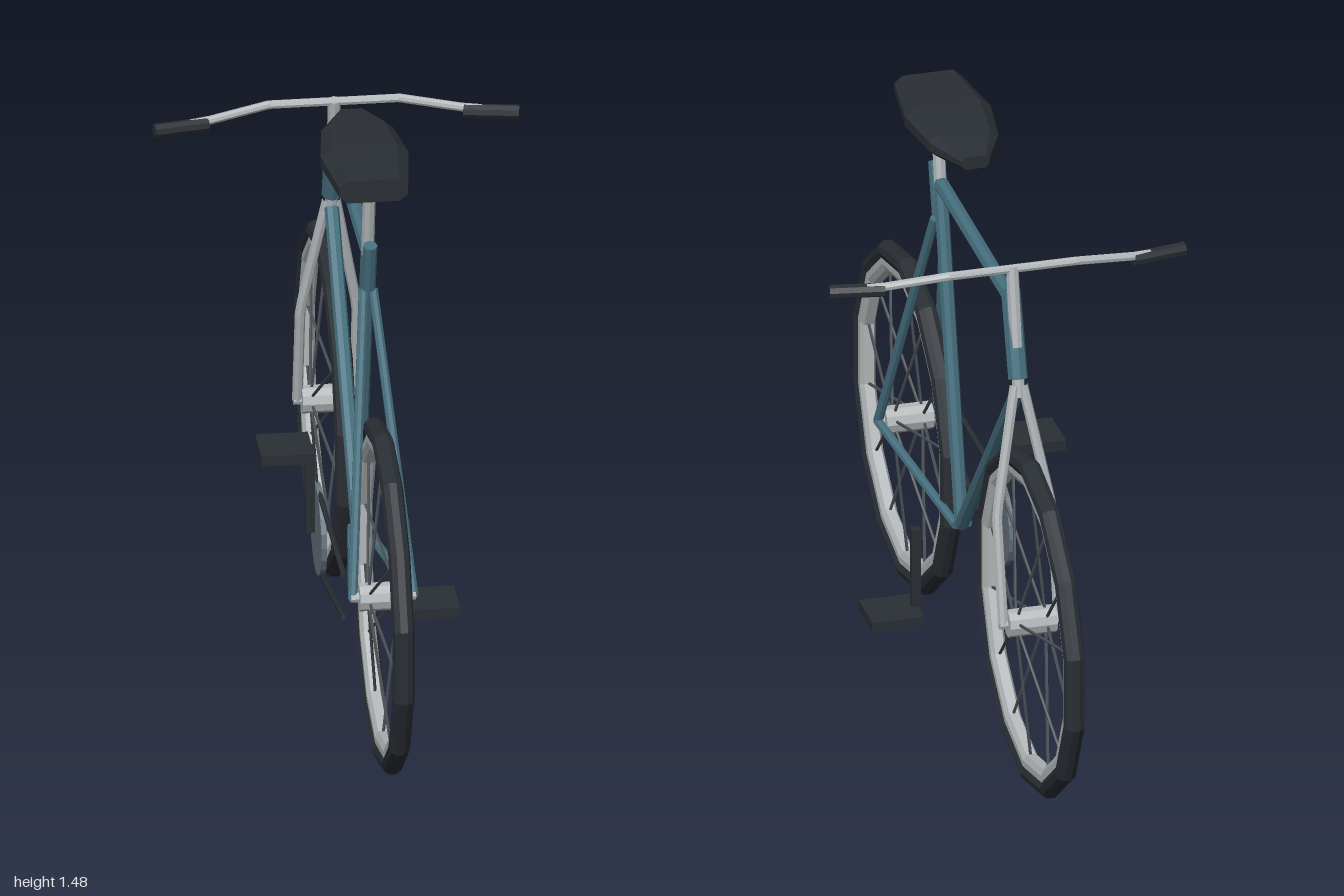
import * as THREE from 'three';

const mat = (color) => new THREE.MeshStandardMaterial({ color, flatShading: true });
const V = (x, y, z) => new THREE.Vector3(x, y, z);

export function createModel() {
  const bike = new THREE.Group();
  bike.name = 'bicycle';
  const blue = mat(0x46707f), dark = mat(0x2a2f35), silver = mat(0xb4b8ba);
  const spokeMat = mat(0x4a5055), steel = mat(0x66747f);

  const add = (name, geometry, material, parent = bike) => {
    const mesh = new THREE.Mesh(geometry, material);
    mesh.name = name;
    parent.add(mesh);
    return mesh;
  };
  // straight tube between two points
  const rod = (name, a, b, r, material, parent = bike, sides = 8) => {
    const dir = b.clone().sub(a);
    const mesh = add(name, new THREE.CylinderGeometry(r, r, dir.length(), sides), material, parent);
    mesh.position.copy(a).add(b).multiplyScalar(0.5);
    mesh.quaternion.setFromUnitVectors(V(0, 1, 0), dir.normalize());
    return mesh;
  };
  const box = (name, w, h, d, x, y, z) =>
    add(name, new THREE.BoxGeometry(w, h, d), dark).position.set(x, y, z);

  // ring of revolution around the x axis, with a corner at the top
  const N = 14;
  const ring = (profile) => {
    const pts = [...profile, profile[0]].map(([r, x]) => new THREE.Vector2(r, x));
    return new THREE.LatheGeometry(pts, N).rotateZ(Math.PI / 2).rotateX(Math.PI / 2);
  };

  // wheels: tyre, rim, hub, axle and spokes
  for (const [name, z] of [['rearWheel', 0.573], ['frontWheel', -0.573]]) {
    const wheel = new THREE.Group();
    wheel.name = name;
    wheel.position.set(0, 0.438, z);
    bike.add(wheel);
    add('tyre', ring([[0.392, -0.018], [0.412, -0.027], [0.428, -0.022], [0.437, -0.009],
      [0.437, 0.009], [0.428, 0.022], [0.412, 0.027], [0.392, 0.018]]), dark, wheel);
    add('rim', ring([[0.365, -0.012], [0.38, -0.02], [0.4, -0.02],
      [0.4, 0.02], [0.38, 0.02], [0.365, 0.012]]), silver, wheel);
    rod('hub', V(-0.06, 0, 0), V(0.06, 0, 0), 0.035, silver, wheel, 10);
    rod('axle', V(-0.08, 0, 0), V(0.08, 0, 0), 0.013, silver, wheel);
    for (let i = 0; i < N; i++) {
      const a = (i / N) * Math.PI * 2, c = Math.cos(a), s = Math.sin(a);
      const x = i % 2 ? 0.035 : -0.035;
      rod('spoke', V(x, c * 0.03, s * 0.03), V(0, c * 0.37, s * 0.37), 0.004, spokeMat, wheel, 5);
    }
  }

  // frame
  const crankAxis = V(0, 0.39, 0.07);
  rod('seatTube', V(0, 1.22, 0.265), crankAxis, 0.018, blue);
  rod('topTube', V(0, 1.23, 0.26), V(0, 1.23, -0.395), 0.019, blue);
  rod('downTube', V(0, 1.01, -0.452), crankAxis, 0.018, blue);
  rod('headTube', V(0, 1.255, -0.387), V(0, 1.045, -0.455), 0.025, blue);
  rod('seatClamp', V(0, 1.265, 0.315), V(0, 1.135, 0.28), 0.018, blue);
  for (const s of [-1, 1]) {
    rod('seatStay', V(s * 0.012, 1.13, 0.275), V(s * 0.075, 0.438, 0.573), 0.012, blue);
    rod('chainStay', V(s * 0.015, 0.39, 0.07), V(s * 0.075, 0.438, 0.573), 0.012, blue);
  }

  // fork and steering
  rod('steererTube', V(0, 1.325, -0.4), V(0, 1.0, -0.463), 0.016, silver);
  for (const s of [-1, 1]) {
    const blade = new THREE.CurvePath();
    const p = [V(s * 0.01, 1.03, -0.46), V(s * 0.07, 0.71, -0.515), V(s * 0.07, 0.438, -0.573)];
    blade.add(new THREE.LineCurve3(p[0], p[1]));
    blade.add(new THREE.LineCurve3(p[1], p[2]));
    add('forkBlade', new THREE.TubeGeometry(blade, 16, 0.013, 8), silver);
    rod('handlebarBend', V(s * 0.16, 1.32, -0.403), V(s * 0.32, 1.298, -0.374), 0.011, silver);
    rod('handlebarEnd', V(s * 0.315, 1.299, -0.375), V(s * 0.44, 1.291, -0.354), 0.011, silver);
    rod('grip', V(s * 0.315, 1.29, -0.373), V(s * 0.45, 1.29, -0.35), 0.018, dark);
  }
  rod('handlebar', V(-0.162, 1.32, -0.403), V(0.162, 1.32, -0.403), 0.011, silver);

  // seat post and saddle
  rod('seatPost', V(0, 1.43, 0.303), V(0, 1.2, 0.262), 0.016, silver);
  // saddle sections from tail to nose: z, half width, bottom, top
  const sections = [[0.385, 0.085, 1.415, 1.474], [0.2, 0.109, 1.413, 1.479],
    [0.05, 0.088, 1.415, 1.475], [-0.06, 0.035, 1.427, 1.46]];
  const pos = [], idx = [];
  for (const [z, w, b, t] of sections) {
    const h = t - b, k = w * 0.75;
    for (const [x, y] of [[w, b + h * 0.3], [w, b + h * 0.7], [k, t], [-k, t],
      [-w, b + h * 0.7], [-w, b + h * 0.3], [-k, b], [k, b]]) pos.push(x, y, z);
  }
  for (let s = 0; s < 3; s++) {
    for (let i = 0; i < 8; i++) {
      const a = s * 8 + i, b = s * 8 + (i + 1) % 8;
      idx.push(a, a + 8, b, b, a + 8, b + 8);
    }
  }
  for (let i = 1; i < 7; i++) idx.push(0, i, i + 1, 24, 24 + i + 1, 24 + i);
  const saddle = new THREE.BufferGeometry();
  saddle.setAttribute('position', new THREE.Float32BufferAttribute(pos, 3));
  saddle.setIndex(idx);
  saddle.computeVertexNormals();
  add('saddle', saddle, dark);

  // chainring and the two chain runs
  rod('chainring', V(-0.104, 0.39, 0.07), V(-0.09, 0.39, 0.07), 0.115, steel, bike, 20);
  rod('upperChain', V(-0.097, 0.5, 0.57), V(-0.097, 0.495, 0.07), 0.007, dark, bike, 6);
  rod('lowerChain', V(-0.097, 0.385, 0.57), V(-0.097, 0.285, 0.07), 0.007, dark, bike, 6);

  // cranks and pedals, half a turn apart
  for (const s of [-1, 1]) {
    box('crank', 0.022, 0.23, 0.022, s * 0.118, 0.39 - s * 0.11, 0.068);
    box('pedal', 0.13, 0.027, 0.13, s * 0.18, 0.39 - s * 0.218, 0.065);
  }
  return bike;
}
